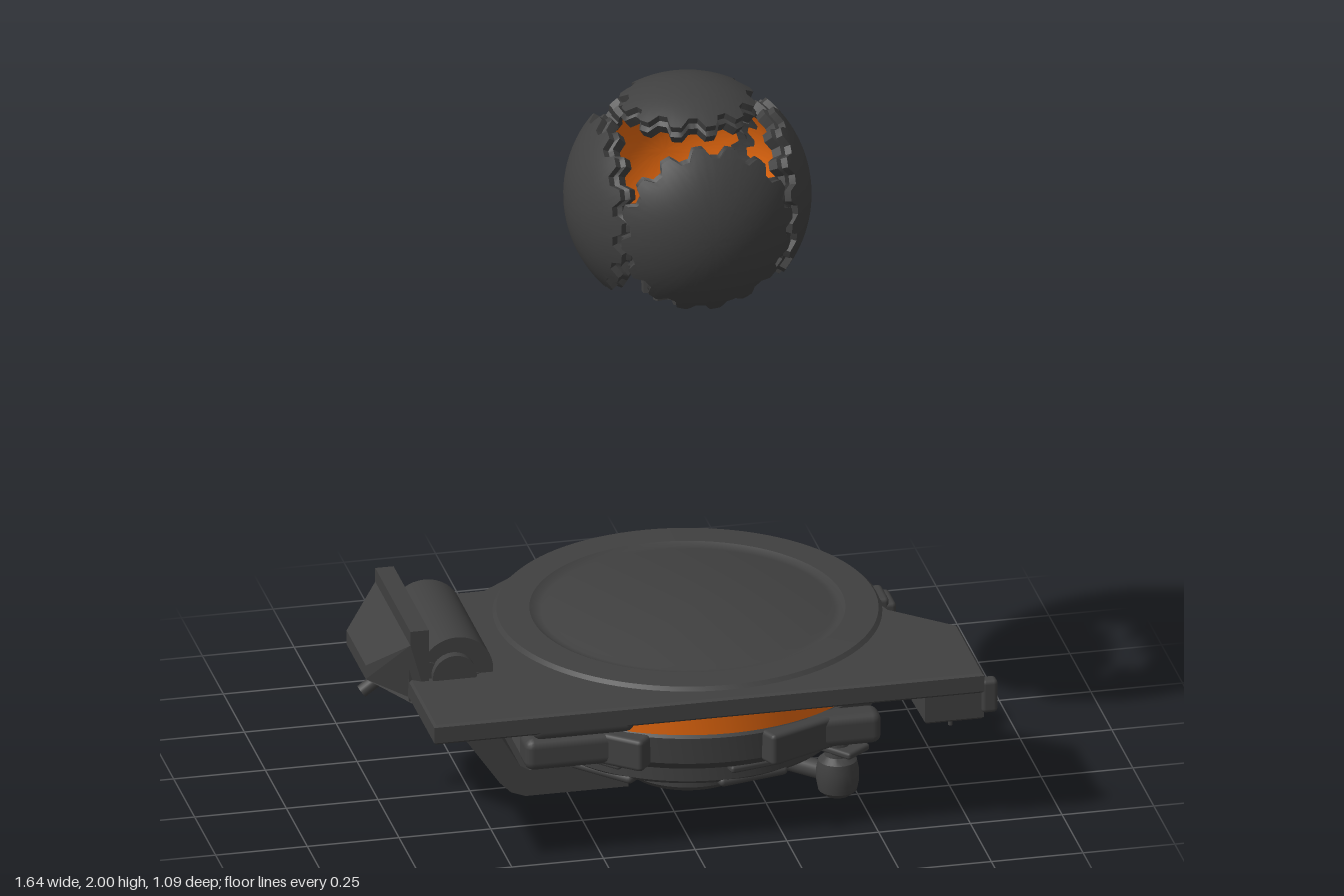
import * as THREE from 'three';
import { toCreasedNormals } from 'three/addons/utils/BufferGeometryUtils.js';
import { RoundedBoxGeometry } from 'three/addons/geometries/RoundedBoxGeometry.js';

const dark = new THREE.MeshStandardMaterial({ color: 0x404040 });
const orange = new THREE.MeshStandardMaterial({ color: 0xe8690f });
const CX = 0.1, CZ = -0.03; // shared axis of disc and ball

function add(parent, name, geo, x = 0, y = 0, z = 0, mat = dark) {
  const m = new THREE.Mesh(geo, mat);
  m.name = name;
  m.position.set(x, y, z);
  parent.add(m);
  return m;
}
const vecs = (pts) => pts.map(([a, b]) => new THREE.Vector2(a, b));
const lathe = (pts, seg = 96) => toCreasedNormals(new THREE.LatheGeometry(vecs(pts), seg), 0.5);
const rbox = (w, h, d, r = 0.012) => new RoundedBoxGeometry(w, h, d, 2, r);

// Outline in x/z, extruded upward from y0 to y1
function slab(pts, y0, y1, bevel = 0.006) {
  const shape = new THREE.Shape(vecs(pts.map(([x, z]) => [x, -z])));
  const g = new THREE.ExtrudeGeometry(shape, {
    depth: y1 - y0 - 2 * bevel, bevelEnabled: bevel > 0, bevelSize: bevel, bevelThickness: bevel,
    bevelOffset: -bevel, bevelSegments: 1, curveSegments: 24,
  });
  return g.rotateX(-Math.PI / 2).translate(0, y0 + bevel, 0);
}

// Outline in x/y, extruded along z from z0 to z1
function profile(pts, z0, z1) {
  const g = new THREE.ExtrudeGeometry(new THREE.Shape(vecs(pts)), { depth: z1 - z0, bevelEnabled: false });
  return g.translate(0, 0, z0);
}

// Rod between two points
function rod(parent, name, a, b, r) {
  const p = new THREE.Vector3(...a), d = new THREE.Vector3(...b).sub(p);
  const m = add(parent, name, new THREE.CylinderGeometry(r, r, d.length(), 16));
  m.position.copy(p).addScaledVector(d, 0.5);
  m.quaternion.setFromUnitVectors(new THREE.Vector3(0, 1, 0), d.normalize());
  return m;
}

// Skin from rings of points: ring(i, phi) gives [radius, theta]
function skin(rows, cols, ring) {
  const pos = [], idx = [];
  for (let i = 0; i < rows; i++) for (let j = 0; j <= cols; j++) {
    const phi = (j / cols) * Math.PI * 2, [r, t] = ring(i, phi);
    pos.push(r * Math.sin(t) * Math.cos(phi), r * Math.sin(t) * Math.sin(phi), r * Math.cos(t));
    if (i < rows - 1 && j < cols) {
      const a = i * (cols + 1) + j, b = a + cols + 1;
      idx.push(a, b, b + 1, a, b + 1, a + 1);
    }
  }
  const g = new THREE.BufferGeometry();
  g.setAttribute('position', new THREE.Float32BufferAttribute(pos, 3));
  g.setIndex(idx);
  return toCreasedNormals(g, 0.5);
}

// Toothed shell panel facing +z, dark outside and orange inside
function shellPanel(name, cap, teeth, seams) {
  const R = 0.33, N = 12, cols = teeth * 10;
  const edge = (phi) => {
    const lim = seams ? Math.min(cap, Math.atan(1 / Math.max(1e-4, Math.abs(Math.cos(phi)))) - 0.005) : cap;
    return lim + 0.045 * THREE.MathUtils.clamp(2 * Math.sin(teeth * phi), -1, 1);
  };
  const group = new THREE.Group();
  group.name = name;
  add(group, name + 'Outer', skin(N + 5, cols, (i, phi) => {
    const e = edge(phi);
    if (i <= N) return [R, (e - 0.04) * (i / N)];
    return [[R - 0.018, e - 0.03], [R - 0.022, e + 0.015], [R - 0.05, e + 0.015], [R - 0.05, e - 0.08]][i - N - 1];
  }));
  add(group, name + 'Lining', skin(N, cols, (i, phi) => [R - 0.05, (edge(phi) - 0.08) * (1 - i / (N - 1))]), 0, 0, 0, orange);
  return group;
}

function buildBall() {
  const ball = new THREE.Group();
  ball.name = 'ball';
  ball.position.set(CX, 1.67, CZ);
  for (let k = 0; k < 4; k++) {
    const p = shellPanel('sidePanel', 0.79, 16, true);
    p.rotation.y = (k * Math.PI) / 2;
    ball.add(p);
  }
  const top = shellPanel('topPanel', 0.58, 12, false);
  top.rotation.x = -Math.PI / 2;
  ball.add(top);
  // open toothed collar underneath
  const outline = [];
  for (let i = 0; i < 48; i++) {
    const a = (i / 48) * Math.PI * 2, r = i % 4 < 2 ? 0.125 : 0.1;
    outline.push(new THREE.Vector2(r * Math.cos(a), r * Math.sin(a)));
  }
  const s = new THREE.Shape(outline);
  s.holes.push(new THREE.Path().absarc(0, 0, 0.08, 0, Math.PI * 2, true));
  const g = new THREE.ExtrudeGeometry(s, { depth: 0.04, bevelEnabled: false, curveSegments: 32 });
  add(ball, 'bottomCollar', g.rotateX(-Math.PI / 2), 0, -0.27, 0);
  return ball;
}

function buildDisc(root) {
  add(root, 'lowerBody', lathe([[0, 0.015], [0.09, 0.015], [0.1, 0], [0.16, 0], [0.175, 0.015], [0.175, 0.05], [0.16, 0.06],
    [0.22, 0.065], [0.22, 0.11], [0.24, 0.12], [0.33, 0.12], [0.34, 0.135], [0.41, 0.135], [0.42, 0.145], [0.42, 0.2],
    [0.47, 0.205], [0.505, 0.235], [0.51, 0.31], [0.5, 0.32]]), CX, 0, CZ);
  add(root, 'orangeBand', lathe([[0.49, 0.318], [0.508, 0.32], [0.512, 0.385], [0.49, 0.387]]), CX, 0, CZ, orange);
  add(root, 'topDisc', lathe([[0.48, 0.385], [0.515, 0.385], [0.52, 0.395], [0.52, 0.45], [0.508, 0.462], [0.42, 0.464],
    [0.405, 0.456], [0.39, 0.456], [0.375, 0.462], [0, 0.462]]), CX, 0, CZ);
  // raised clips on the underside
  for (let k = 0; k < 6; k++) {
    const a = (k / 6) * Math.PI * 2 + 0.3;
    const clip = add(root, 'undersideClip', rbox(0.11, 0.025, 0.2), CX + 0.36 * Math.cos(a), 0.135, CZ + 0.36 * Math.sin(a));
    clip.rotation.y = -a;
    const tab = add(root, 'rimTab', rbox(0.04, 0.02, 0.16, 0.008), CX + 0.42 * Math.cos(a), 0.18, CZ + 0.42 * Math.sin(a));
    tab.rotation.y = -a;
  }
  // guards on the rim
  for (const [deg, y, h, w] of [[15, 0.27, 0.08, 0.14], [65, 0.27, 0.09, 0.26], [130, 0.27, 0.09, 0.28],
    [0, 0.42, 0.07, 0.1], [-52, 0.41, 0.07, 0.14], [-115, 0.41, 0.06, 0.1], [-52, 0.27, 0.08, 0.16]]) {
    const a = (deg * Math.PI) / 180;
    const m = add(root, 'rimGuard', rbox(0.06, h, w), CX + 0.51 * Math.cos(a), y, CZ + 0.51 * Math.sin(a));
    m.rotation.y = -a;
  }
}

function buildPlate(root) {
  add(root, 'basePlate', slab([[-0.72, -0.23], [-0.69, -0.275], [-0.4, -0.28], [-0.3, -0.36], [0.1, -0.2], [0.6, 0],
    [0.625, 0.08], [0.78, 0.22], [0.78, 0.54], [-0.72, 0.54]], 0.395, 0.452), 0, 0, 0);
  add(root, 'rightBlock', slab([[0.61, 0.08], [0.64, 0.1], [0.78, 0.225], [0.78, 0.53], [0.62, 0.53]], 0.315, 0.42));
  add(root, 'rightEndCap', rbox(0.045, 0.095, 0.04), 0.795, 0.382, 0.52);
  add(root, 'rightSidePanel', rbox(0.03, 0.08, 0.24), 0.775, 0.385, 0.39);
  add(root, 'rightPin', new THREE.CylinderGeometry(0.006, 0.006, 0.05, 10), 0.7, 0.31, 0.48);
  add(root, 'leftBlock', slab([[-0.66, -0.25], [-0.4, -0.27], [-0.31, -0.34], [-0.26, -0.1], [-0.33, 0.2], [-0.45, 0.3],
    [-0.66, 0.3]], 0.315, 0.41));
  // front casings below the plate edge
  add(root, 'frontCasing', rbox(0.28, 0.07, 0.1, 0.025), -0.31, 0.41, 0.49);
  add(root, 'lowerFrontCasing', rbox(0.28, 0.09, 0.1, 0.025), -0.3, 0.272, 0.36);
  add(root, 'lowerFrontCasing', rbox(0.27, 0.09, 0.08, 0.025), 0.39, 0.272, 0.4);
  add(root, 'sideTab', rbox(0.05, 0.1, 0.1), 0.635, 0.39, -0.03);
}

function buildHinge(root) {
  const z = 0.045;
  add(root, 'hingeDrum', toCreasedNormals(new THREE.CylinderGeometry(0.1, 0.1, 0.38, 40).rotateX(Math.PI / 2), 0.5), -0.59, 0.462, z);
  for (const s of [-1, 1]) {
    add(root, 'drumEnd', new THREE.CylinderGeometry(0.06, 0.06, 0.03, 24).rotateX(Math.PI / 2), -0.6, 0.46, z + s * 0.2);
  }
  add(root, 'hingeBracket', profile([[-0.72, 0.39], [-0.52, 0.39], [-0.52, 0.45], [-0.67, 0.5], [-0.72, 0.5]], -0.15, 0.24));
  // tapered flap: extruded side outline whose ends narrow toward the outer edge
  const flap = profile([[-0.82, 0.43], [-0.7, 0.38], [-0.67, 0.38], [-0.67, 0.6], [-0.72, 0.6], [-0.72, 0.56], [-0.82, 0.47]], -1, 1);
  const p = flap.attributes.position;
  for (let i = 0; i < p.count; i++) {
    const t = THREE.MathUtils.clamp((p.getX(i) + 0.82) / 0.1, 0, 1);
    p.setZ(i, z + p.getZ(i) * (0.115 + 0.095 * t));
  }
  flap.computeVertexNormals();
  add(root, 'hingeFlap', flap);
  rod(root, 'hingePin', [-0.8, 0.33, 0.02], [-0.69, 0.41, 0.02], 0.018);
}

function buildSupports(root) {
  // bent arm from the plate down to the hub
  add(root, 'bentArm', profile([[-0.66, 0.33], [-0.61, 0.31], [-0.45, 0.08], [-0.42, 0.05], [-0.38, 0.035], [-0.1, 0.035],
    [-0.1, 0.11], [-0.37, 0.11], [-0.395, 0.125], [-0.48, 0.27], [-0.48, 0.35], [-0.64, 0.35]], -0.13, 0.14));
  for (const y of [0.05, 0.08]) add(root, 'armTongue', rbox(0.1, 0.015, 0.16, 0.006), -0.07, y, 0);
  // two rounded feet on spokes
  for (const [x, z] of [[0.42, 0.36], [0.42, -0.41]]) {
    const foot = add(root, 'foot', lathe([[0, 0.058], [0.035, 0.06], [0.052, 0.075], [0.057, 0.1], [0.057, 0.135],
      [0.052, 0.16], [0.035, 0.175], [0.03, 0.22], [0, 0.22]], 24), x, 0, z);
    foot.name = 'foot';
    const d = new THREE.Vector2(x - CX, z - CZ).normalize();
    rod(root, 'footSpoke', [CX + d.x * 0.15, 0.1, CZ + d.y * 0.15], [x, 0.115, z], 0.026);
    rod(root, 'spokeSleeve', [CX + d.x * 0.2, 0.1, CZ + d.y * 0.2], [CX + d.x * 0.3, 0.105, CZ + d.y * 0.3], 0.038);
    const clip = add(root, 'footClip', rbox(0.12, 0.02, 0.09, 0.008), x + d.x * 0.02, 0.195, z);
    clip.rotation.y = -Math.atan2(d.y, d.x);
  }
  add(root, 'hubRing', new THREE.TorusGeometry(0.2, 0.02, 10, 64).rotateX(Math.PI / 2), CX, 0.085, CZ);
  // raised bars under the hub
  for (const s of [-1, 1]) add(root, 'hubBar', rbox(0.2, 0.02, 0.05, 0.008), CX, 0.012, CZ + s * 0.045);
}

export function createModel() {
  const root = new THREE.Group();
  root.name = 'model';
  buildDisc(root);
  buildPlate(root);
  buildHinge(root);
  buildSupports(root);
  root.add(buildBall());
  return root;
}
